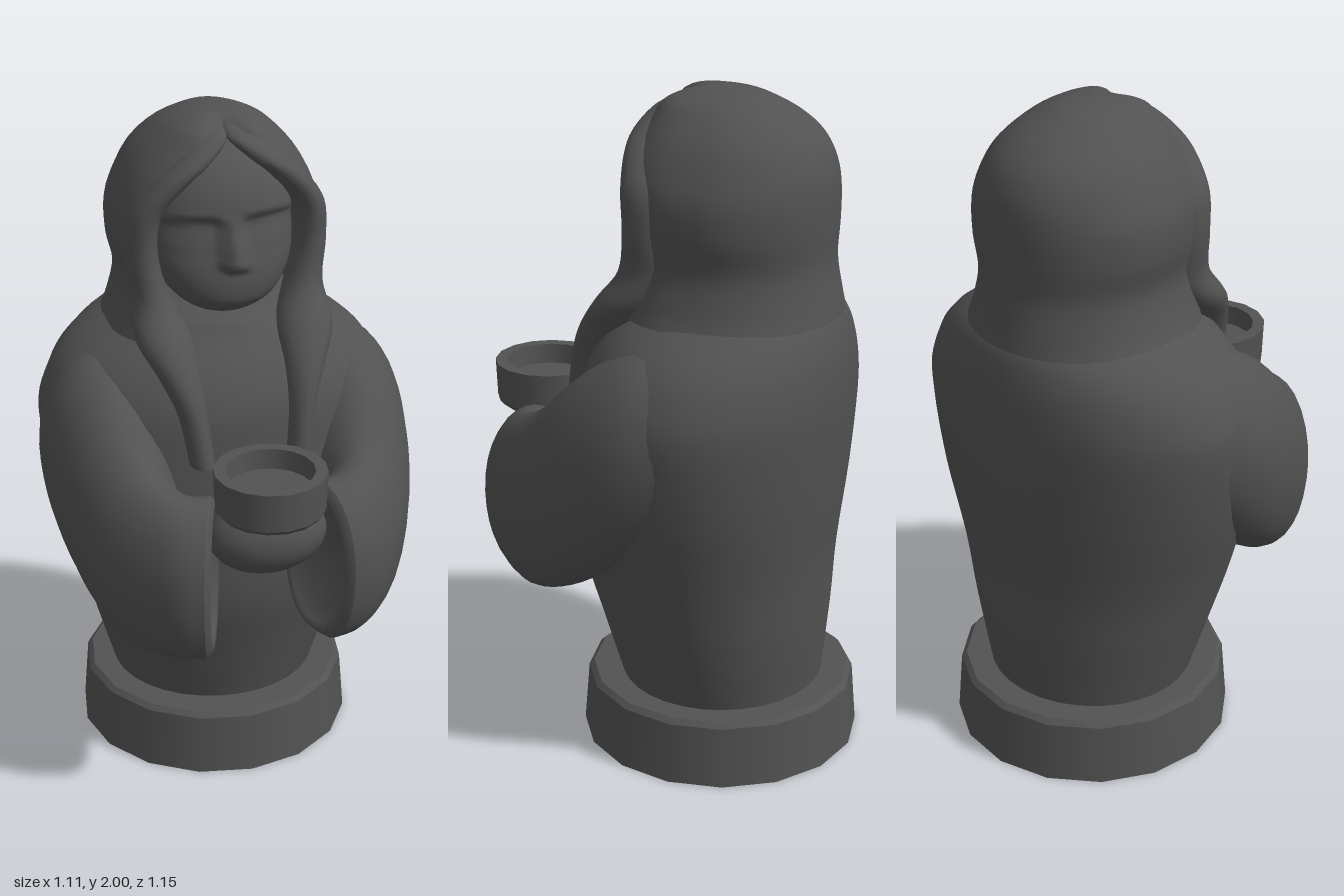
import * as THREE from 'three';

const material = new THREE.MeshStandardMaterial({ color: 0x525252, side: THREE.DoubleSide });

function part(name, geometry) {
  const mesh = new THREE.Mesh(geometry, material);
  mesh.name = name;
  return mesh;
}

// Skin a list of rings, each ring a list of [x, y, z]
function loft(rings, closed = true) {
  const n = rings[0].length;
  const index = [];
  for (let i = 0; i < rings.length - 1; i++) {
    for (let j = 0; j < (closed ? n : n - 1); j++) {
      const k = (j + 1) % n;
      const a = i * n + j, b = i * n + k, c = (i + 1) * n + k, d = (i + 1) * n + j;
      index.push(a, b, c, a, c, d);
    }
  }
  const geometry = new THREE.BufferGeometry();
  geometry.setAttribute('position', new THREE.Float32BufferAttribute(rings.flat(2), 3));
  geometry.setIndex(index);
  geometry.computeVertexNormals();
  return geometry;
}

// Spline every column of a table of section values
function smooth(rows, steps) {
  const columns = rows[0].map((_, k) =>
    new THREE.SplineCurve(rows.map((r, i) => new THREE.Vector2(i, r[k]))));
  return Array.from({ length: steps + 1 }, (_, s) => columns.map(c => c.getPoint(s / steps).y));
}

// One point per angle around a full turn
function around(n, point) {
  return Array.from({ length: n }, (_, j) => point(j / n * Math.PI * 2));
}

const power = (v, e) => Math.sign(v) * Math.abs(v) ** e;

// Sharp-edged turned part: every profile segment gets its own band
function turned(name, profile, sides, z) {
  const group = new THREE.Group();
  group.name = name;
  for (let i = 0; i < profile.length - 1; i++) {
    const band = [profile[i], profile[i + 1]].map(p => new THREE.Vector2(...p));
    group.add(part(name + 'Band', new THREE.LatheGeometry(band, sides)));
  }
  group.position.z = z;
  return group;
}

// Robe: ellipses given as y, half width, centre z, half depth
function robe() {
  const rows = smooth([
    [0.18, 0.31, -0.16, 0.30], [0.4, 0.375, -0.14, 0.34], [0.6, 0.43, -0.12, 0.37],
    [0.85, 0.50, -0.13, 0.385], [1.08, 0.53, -0.147, 0.383], [1.2, 0.505, -0.155, 0.375],
    [1.3, 0.435, -0.172, 0.345], [1.38, 0.31, -0.19, 0.295], [1.43, 0.18, -0.17, 0.22], [1.45, 0, -0.15, 0],
  ], 36);
  return part('robe', loft(rows.map(([y, w, c, d]) =>
    around(32, a => [w * Math.sin(a), y, c + d * Math.cos(a)]))));
}

// Wide sleeve: sections given as centre x, y, z, half height, half width in x and in z
function sleeve() {
  const rows = smooth([
    [0.24, 1.1, -0.3, 0.17, 0.2, -0.03], [0.34, 1.035, -0.09, 0.29, 0.21, 0],
    [0.35, 0.92, 0.1, 0.325, 0.18, 0.03], [0.32, 0.81, 0.26, 0.285, 0.13, 0.06],
    [0.25, 0.78, 0.355, 0.255, 0.065, 0.12], [0.17, 0.775, 0.38, 0.25, 0.055, 0.135],
  ], 24);
  // Lower half is fuller than the upper half
  const ring = ([x, y, z, h, wx, wz]) => around(32, a => {
    const c = Math.sin(a) < 0 ? power(Math.cos(a), 0.78) : Math.cos(a);
    return [x + wx * c, y + h * Math.sin(a), z + wz * c];
  });
  const end = rows[rows.length - 1];
  const inset = (s, dx) => end.map((v, i) => (i === 0 ? v + dx : i > 2 ? v * s : v));
  const group = new THREE.Group();
  group.name = 'sleeve';
  group.add(part('sleeveCloth', loft(rows.map(ring))));
  // Rolled cuff and lining
  const lining = [inset(1, 0), inset(0.93, -0.018), inset(0.82, -0.015), inset(0.7, 0.03), inset(0, 0.05)];
  group.add(part('cuffLining', loft(lining.map(ring))));
  return group;
}

// Head covering: y, half width, centre z, half depth, half width of the face opening
function veil() {
  const rows = smooth([
    [1.365, 0.325, -0.19, 0.315, 0.19], [1.42, 0.303, -0.185, 0.31, 0.2], [1.52, 0.283, -0.18, 0.30, 0.22],
    [1.62, 0.303, -0.183, 0.30, 0.248], [1.72, 0.303, -0.183, 0.30, 0.243], [1.8, 0.275, -0.18, 0.292, 0.19],
    [1.87, 0.235, -0.18, 0.258, 0.12], [1.925, 0.185, -0.165, 0.212, 0.05], [1.965, 0.135, -0.14, 0.16, 0],
    [1.99, 0.07, -0.135, 0.1, 0], [2, 0, -0.135, 0, 0],
  ], 40);
  return part('veil', loft(rows.map(([y, w, c, d, open]) => {
    const t0 = w > 0.01 ? Math.asin(Math.max(0, Math.min(1, open / w))) : 0;
    return Array.from({ length: 41 }, (_, j) => {
      const t = t0 + j / 40 * (Math.PI * 2 - 2 * t0);
      const x = w * Math.sin(t);
      // Full front, with a small parting above the forehead
      const front = Math.max(0, Math.cos(t));
      const depth = front > 0 ? power(front, 0.7) : Math.cos(t);
      const dent = y > 1.9 ? 0.06 * front * Math.exp(-((x / 0.05) ** 2)) * Math.min(1, d / 0.15) : 0;
      return [x, y, c + d * depth - dent];
    });
  }), false));
}

// Rolled veil edge, falling as a tapering strand: y, centre x, z, half width, half depth
function veilEdge() {
  const rows = smooth([
    [1.06, 0.145, 0.232, 0.036, 0.048], [1.2, 0.162, 0.195, 0.042, 0.06], [1.3, 0.185, 0.145, 0.06, 0.075],
    [1.4, 0.212, 0.07, 0.082, 0.085], [1.5, 0.228, 0.005, 0.055, 0.07], [1.62, 0.25, -0.01, 0.047, 0.062],
    [1.74, 0.24, -0.005, 0.047, 0.065], [1.83, 0.172, 0.02, 0.05, 0.056], [1.885, 0.108, 0.025, 0.05, 0.048],
    [1.94, 0.045, -0.008, 0.045, 0.042], [1.975, 0.025, -0.075, 0.025, 0.03],
  ], 50);
  return part('veilEdge', loft(rows.map(([y, x, z, hx, hz]) =>
    around(16, a => [x + hx * Math.sin(a), y, z + hz * Math.cos(a)]))));
}

// Face: a flattened ball with brow, nose and chin pushed into shape
function face() {
  const geometry = new THREE.SphereGeometry(1, 64, 56);
  const p = geometry.attributes.position;
  const { smoothstep } = THREE.MathUtils;
  for (let i = 0; i < p.count; i++) {
    const nz = p.getZ(i);
    const x = p.getX(i) * 0.22, y = 1.665 + p.getY(i) * 0.245;
    let z = -0.12 + 0.2 * power(nz, 0.7);
    if (nz > 0) {
      // Wedge nose, then the step under the brow, then the chin
      const ridge = smoothstep(1.74 - y, 0, 0.15) * smoothstep(y, 1.57, 1.595);
      z += 0.046 * ridge * Math.exp(-((x / 0.035) ** 4));
      const brow = 1.735 - 1.5 * (Math.abs(x) - 0.1) ** 2;
      z -= 0.024 * smoothstep(brow - y, 0, 0.02) * smoothstep(y, brow - 0.13, brow - 0.02)
        * smoothstep(Math.abs(x), 0.015, 0.04);
      z += 0.4 * Math.max(0, Math.min(0.14, 1.62 - y));
    }
    p.setXYZ(i, x, y, z);
  }
  geometry.computeVertexNormals();
  return part('face', geometry);
}

export function createModel() {
  const model = new THREE.Group();
  model.name = 'figure';

  // Round base, hollow underneath
  model.add(turned('base', [[0.42, 0], [0.405, 0.185], [0.39, 0.2], [0, 0.2]], 16, -0.153));

  model.add(robe(), veil(), face());

  // Mirrored sleeves and veil edges
  for (const side of [1, -1]) {
    const half = new THREE.Group();
    half.name = side > 0 ? 'leftSide' : 'rightSide';
    half.add(sleeve(), veilEdge());
    half.scale.x = side;
    model.add(half);
  }

  // Joined hands holding the bowl
  const hands = part('hands', new THREE.SphereGeometry(1, 28, 20));
  hands.scale.set(0.175, 0.12, 0.12);
  hands.position.set(0, 0.9, 0.385);
  model.add(hands);

  model.add(turned('bowl', [
    [0, 0.98], [0.145, 0.98], [0.158, 0.995], [0.162, 1.11], [0.127, 1.11], [0.122, 1.05], [0, 1.045],
  ], 16, 0.414));

  return model;
}
